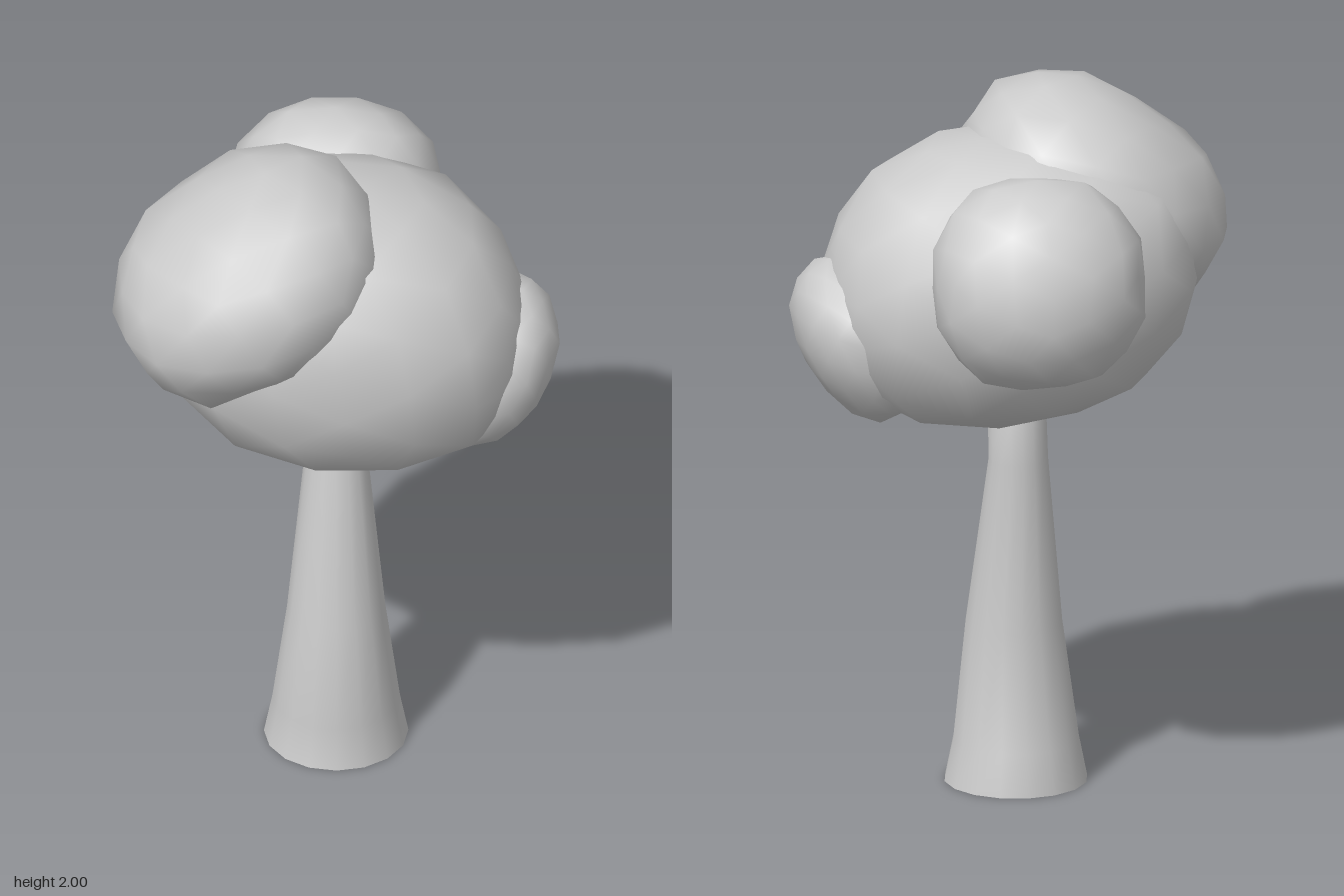
import * as THREE from 'three';
import { mergeVertices } from 'three/addons/utils/BufferGeometryUtils.js';

const grey = new THREE.MeshStandardMaterial({ color: 0xcccccc });
const greyOpen = new THREE.MeshStandardMaterial({ color: 0xcccccc, side: THREE.DoubleSide });

// Weld all corners so shading is smooth across faces and seams
function smooth(geometry) {
  geometry.deleteAttribute('uv');
  geometry.deleteAttribute('normal');
  const welded = mergeVertices(geometry, 1e-4);
  welded.computeVertexNormals();
  return welded;
}

// Slightly boxy, lumpy low-poly ellipsoid; lean shears the top towards -x
function foliage(name, { center, radii, tilt = [0, 0, 0], lean = 0, power = 2.25, lump = 0.025, seed }) {
  const geometry = new THREE.IcosahedronGeometry(1, 2);
  const p = geometry.attributes.position;
  const v = new THREE.Vector3();
  for (let i = 0; i < p.count; i++) {
    v.fromBufferAttribute(p, i).normalize();
    const norm = Math.abs(v.x) ** power + Math.abs(v.y) ** power + Math.abs(v.z) ** power;
    const bump = Math.sin(v.x * 7 + seed) * Math.sin(v.y * 8 + seed * 2) + Math.sin(v.z * 9 + v.x * 5 + seed * 3) * 0.6;
    v.multiplyScalar(norm ** (-1 / power) * (1 + lump * bump));
    const y = v.y * radii[1];
    p.setXYZ(i, v.x * radii[0] - lean * y, y, v.z * radii[2]);
  }
  const mesh = new THREE.Mesh(smooth(geometry), grey);
  mesh.name = name;
  mesh.position.set(...center);
  mesh.rotation.set(...tilt);
  return mesh;
}

// Bent, tapering trunk, open at the bottom
function trunk() {
  // height, radius, z offset of each ring, top to bottom
  const rings = [[1.25, 0.08, 0.04], [1.08, 0.083, 0.015], [0.95, 0.085, -0.002], [0.45, 0.138, 0.073], [0.12, 0.179, 0.037], [0, 0.203, 0.038]];
  const sides = 16;
  const geometry = new THREE.CylinderGeometry(1, 1, 1, sides, rings.length - 1, true);
  const p = geometry.attributes.position;
  for (let i = 0; i < p.count; i++) {
    const [y, r, z] = rings[Math.floor(i / (sides + 1))];
    p.setXYZ(i, p.getX(i) * r, y, p.getZ(i) * r + z);
  }
  const mesh = new THREE.Mesh(smooth(geometry), greyOpen);
  mesh.name = 'trunk';
  return mesh;
}

export function createModel() {
  const tree = new THREE.Group();
  tree.name = 'tree';
  tree.add(
    trunk(),
    foliage('mainCrown', { center: [0.01, 1.465, 0.095], radii: [0.525, 0.415, 0.45], lean: 0.14, power: 2.45, lump: 0.012, seed: 1 }),
    foliage('upperRightClump', { center: [-0.245, 1.665, 0.2], radii: [0.4, 0.285, 0.395], tilt: [0, 0, 0.59], seed: 2 }),
    foliage('backClump', { center: [0, 1.565, -0.335], radii: [0.305, 0.3, 0.25], tilt: [0.33, 0, 0], seed: 4 }),
    foliage('lowerLeftClump', { center: [0.435, 1.3, 0.095], radii: [0.165, 0.245, 0.25], tilt: [0, 0, -0.5], seed: 5 }),
  );
  return tree;
}
